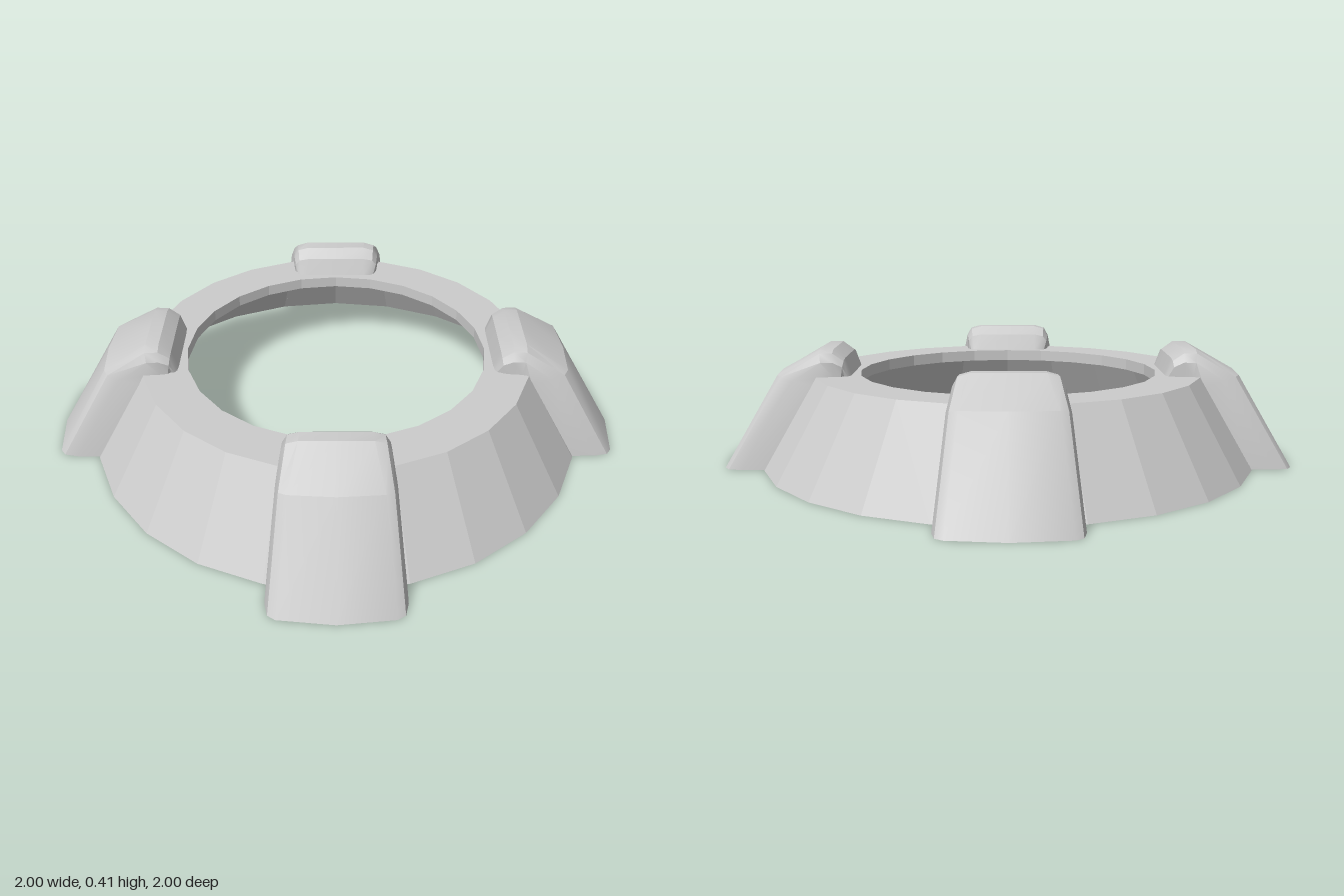
import * as THREE from 'three';
import { toCreasedNormals } from 'three/addons/utils/BufferGeometryUtils.js';

const SIDES = 24;

// Each station along a clamp, from the ground up and over to the inner end:
// ridge height y, ridge z, face half width, face set-back, then the foot (x, y, z) on the ring
const STATIONS = [
  { y: 0, z: 1.0, face: 0.18, back: 0.02, foot: [0.215, 0, 0.835] },
  { y: 0.32, z: 0.805, face: 0.145, back: 0.01, foot: [0.182, 0.285, 0.67] },
  { y: 0.405, z: 0.65, face: 0.115, back: 0, foot: [0.168, 0.315, 0.635] },
  { y: 0.405, z: 0.605, face: 0.11, back: 0, foot: [0.165, 0.315, 0.6] },
  { y: 0.375, z: 0.565, face: 0.11, back: 0, foot: [0.16, 0.315, 0.575] },
  { y: 0.315, z: 0.543, face: 0.11, back: 0, foot: [0.15, 0.315, 0.565] },
];

// Half of a cross-section: ridge centre, face edge, rounded shoulder, foot
function halfSection({ y, z, face, back, foot }) {
  const [fx, fy, fz] = foot;
  const toward = (x, t) => [x, y + (fy - y) * t, z - back + (fz - z + back) * t];
  return [[0, y, z], [face, y, z - back], toward(face + (fx - face) * 0.7, 0.12), toward(fx, 0.45), foot];
}

function clampGeometry() {
  const rows = STATIONS.map((s) => {
    const half = halfSection(s);
    const mirrored = half.slice(1).reverse().map(([x, y, z]) => [-x, y, z]);
    return [...mirrored, ...half];
  });
  const n = rows[0].length;
  const index = [];
  for (let i = 0; i < rows.length - 1; i++) {
    for (let j = 0; j < n - 1; j++) {
      const a = i * n + j, b = a + 1, c = b + n, d = a + n;
      index.push(a, b, c, a, c, d);
    }
  }
  const geometry = new THREE.BufferGeometry();
  geometry.setAttribute('position', new THREE.Float32BufferAttribute(rows.flat(2), 3));
  geometry.setIndex(index);
  return toCreasedNormals(geometry, THREE.MathUtils.degToRad(28));
}

export function createModel() {
  const group = new THREE.Group();
  group.name = 'collarRing';

  // Sloped collar with a flat top and a short lip hanging into the hole
  const profile = [[0.865, 0], [0.68, 0.315], [0.525, 0.315], [0.525, 0.275]]
    .map(([r, y]) => new THREE.Vector2(r, y));
  const ring = new THREE.Mesh(
    new THREE.LatheGeometry(profile, SIDES),
    new THREE.MeshStandardMaterial({ color: 0xcccccc, flatShading: true, side: THREE.DoubleSide })
  );
  ring.name = 'ring';
  group.add(ring);

  // Four clamps hooked over the ring
  const geometry = clampGeometry();
  const material = new THREE.MeshStandardMaterial({ color: 0xcccccc, side: THREE.DoubleSide });
  ['frontClamp', 'leftClamp', 'backClamp', 'rightClamp'].forEach((name, k) => {
    const clamp = new THREE.Mesh(geometry, material);
    clamp.name = name;
    clamp.rotation.y = (k * Math.PI) / 2;
    group.add(clamp);
  });

  return group;
}
